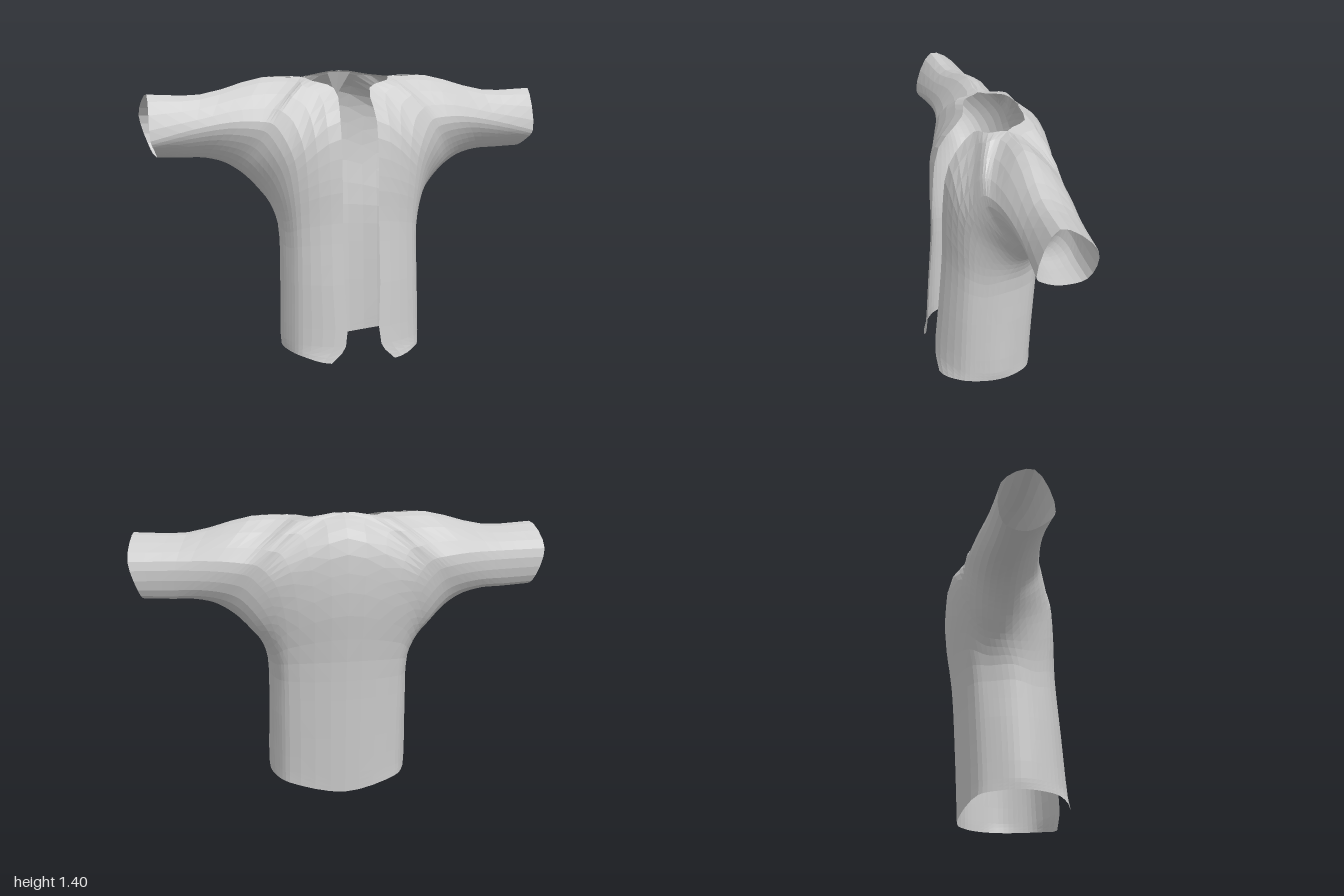
import * as THREE from 'three';

const V = (p) => new THREE.Vector3(...p);

// Guide lines of one half, each running hem -> armpit / neck -> cuff.
const shoulder = [[0.225, 1.38, -0.04], [0.42, 1.38, -0.045], [0.72, 1.305, -0.015], [0.97, 1.31, 0]];
const guides = {
  frontEdge: [[0.16, 0.02, 0.295], [0.09, 0.1, 0.295], [0.09, 0.4, 0.27], [0.09, 0.7, 0.245],
    [0.09, 0.92, 0.238], [0.09, 1.18, 0.2], [0.09, 1.33, 0.08], [0.19, 1.365, 0.04], ...shoulder],
  frontMiddle: [[0.29, 0.045, 0.22], [0.285, 0.1, 0.215], [0.28, 0.4, 0.2], [0.28, 0.67, 0.185],
    [0.29, 0.85, 0.19], [0.31, 1.0, 0.185], [0.36, 1.12, 0.15], [0.4, 1.17, 0.128],
    [0.45, 1.18, 0.11], [0.58, 1.18, 0.09], [0.76, 1.15, 0.08], [0.965, 1.1, 0.09]],
  frontSide: [[0.335, 0.05, 0.13], [0.335, 0.1, 0.13], [0.33, 0.4, 0.12], [0.33, 0.64, 0.105],
    [0.355, 0.79, 0.1], [0.4, 0.9, 0.08], [0.46, 0.98, 0.065], [0.5, 1.02, 0.055],
    [0.56, 1.05, 0.05], [0.66, 1.07, 0.045], [0.79, 1.065, 0.045], [0.945, 1.05, 0.05]],
  underarm: [[0.35, 0.05, 0.03], [0.355, 0.1, 0.03], [0.35, 0.4, 0.02], [0.355, 0.66, 0],
    [0.39, 0.767, -0.04], [0.44, 0.835, -0.05], [0.5, 0.9, -0.05], [0.55, 0.94, -0.05],
    [0.61, 0.975, -0.05], [0.7, 1.0, -0.045], [0.8, 1.005, -0.04], [0.93, 1.01, -0.04]],
  backSide: [[0.325, 0.045, -0.07], [0.325, 0.1, -0.07], [0.325, 0.4, -0.085], [0.325, 0.66, -0.11],
    [0.365, 0.79, -0.14], [0.42, 0.87, -0.16], [0.475, 0.94, -0.165], [0.52, 0.98, -0.165],
    [0.58, 1.01, -0.165], [0.69, 1.03, -0.16], [0.8, 1.03, -0.15], [0.95, 1.035, -0.14]],
  backMiddle: [[0.27, 0.04, -0.15], [0.27, 0.1, -0.15], [0.27, 0.4, -0.165], [0.275, 0.68, -0.185],
    [0.29, 0.92, -0.235], [0.33, 1.08, -0.25], [0.38, 1.15, -0.24], [0.42, 1.18, -0.235],
    [0.48, 1.19, -0.225], [0.6, 1.2, -0.205], [0.78, 1.2, -0.175], [1.0, 1.2, -0.155]],
  backEdge: [[0, 0.0, -0.215], [0, 0.1, -0.22], [0, 0.4, -0.235], [0, 0.7, -0.255],
    [0, 1.05, -0.297], [0, 1.3, -0.272], [0, 1.4, -0.165], [0.15, 1.385, -0.148], ...shoulder],
};
const curves = Object.values(guides).map((g) => new THREE.CatmullRomCurve3(g.map(V)));
const STATIONS = guides.underarm.length - 1;

// Cross-section from front edge, around the side or underarm, to the back edge.
// End tangents turn from mirror symmetry on the body to a closed ring on the sleeve.
function section(station, columns) {
  const line = curves.map((c) => c.getPoint(station / STATIONS));
  const front = line[1];
  const back = line[line.length - 2];
  const mirrored = (p) => new THREE.Vector3(-p.x, p.y, p.z);
  const sleeve = THREE.MathUtils.smoothstep(station, 5.5, 8.5);
  const ring = new THREE.CatmullRomCurve3([
    mirrored(front).lerp(back, sleeve), ...line, mirrored(back).lerp(front, sleeve)]);
  const spans = line.length - 1;
  const points = [];
  for (let j = 0; j <= columns; j++) {
    const p = ring.getPoint((1 + (spans * j) / columns) / (spans + 2));
    p.x = Math.max(0, p.x);
    points.push(p);
  }
  return points;
}

// Half of the garment: sections that swing from the hem up into the sleeve.
function halfGeometry(side) {
  const rows = STATIONS * 3;
  const columns = 24;
  const positions = [];
  const index = [];
  for (let i = 0; i <= rows; i++) {
    for (const p of section(i / 3, columns)) positions.push(side * p.x, p.y, p.z);
  }
  for (let i = 0; i < rows; i++) {
    for (let j = 0; j < columns; j++) {
      const a = i * (columns + 1) + j;
      const d = a + columns + 1;
      if (side > 0) index.push(a, a + 1, d, a + 1, d + 1, d);
      else index.push(a, d, a + 1, a + 1, d, d + 1);
    }
  }
  const geometry = new THREE.BufferGeometry();
  geometry.setAttribute('position', new THREE.Float32BufferAttribute(positions, 3));
  geometry.setIndex(index);
  geometry.computeVertexNormals();
  return geometry;
}

// Small fold of cloth hanging inside the back of the collar.
function pleatGeometry() {
  const geometry = new THREE.BufferGeometry();
  geometry.setAttribute('position', new THREE.Float32BufferAttribute([
    -0.06, 1.395, -0.165, 0, 1.27, -0.22, 0, 1.405, -0.165,
    0, 1.405, -0.165, 0, 1.27, -0.22, 0.06, 1.395, -0.165,
  ], 3));
  geometry.computeVertexNormals();
  return geometry;
}

export function createModel() {
  const model = new THREE.Group();
  model.name = 'jacket';
  const cloth = new THREE.MeshStandardMaterial({ color: 0xcccccc, flatShading: true, side: THREE.DoubleSide });
  const add = (name, geometry) => {
    const mesh = new THREE.Mesh(geometry, cloth);
    mesh.name = name;
    model.add(mesh);
  };
  add('leftHalf', halfGeometry(1));
  add('rightHalf', halfGeometry(-1));
  add('collarPleat', pleatGeometry());
  return model;
}
